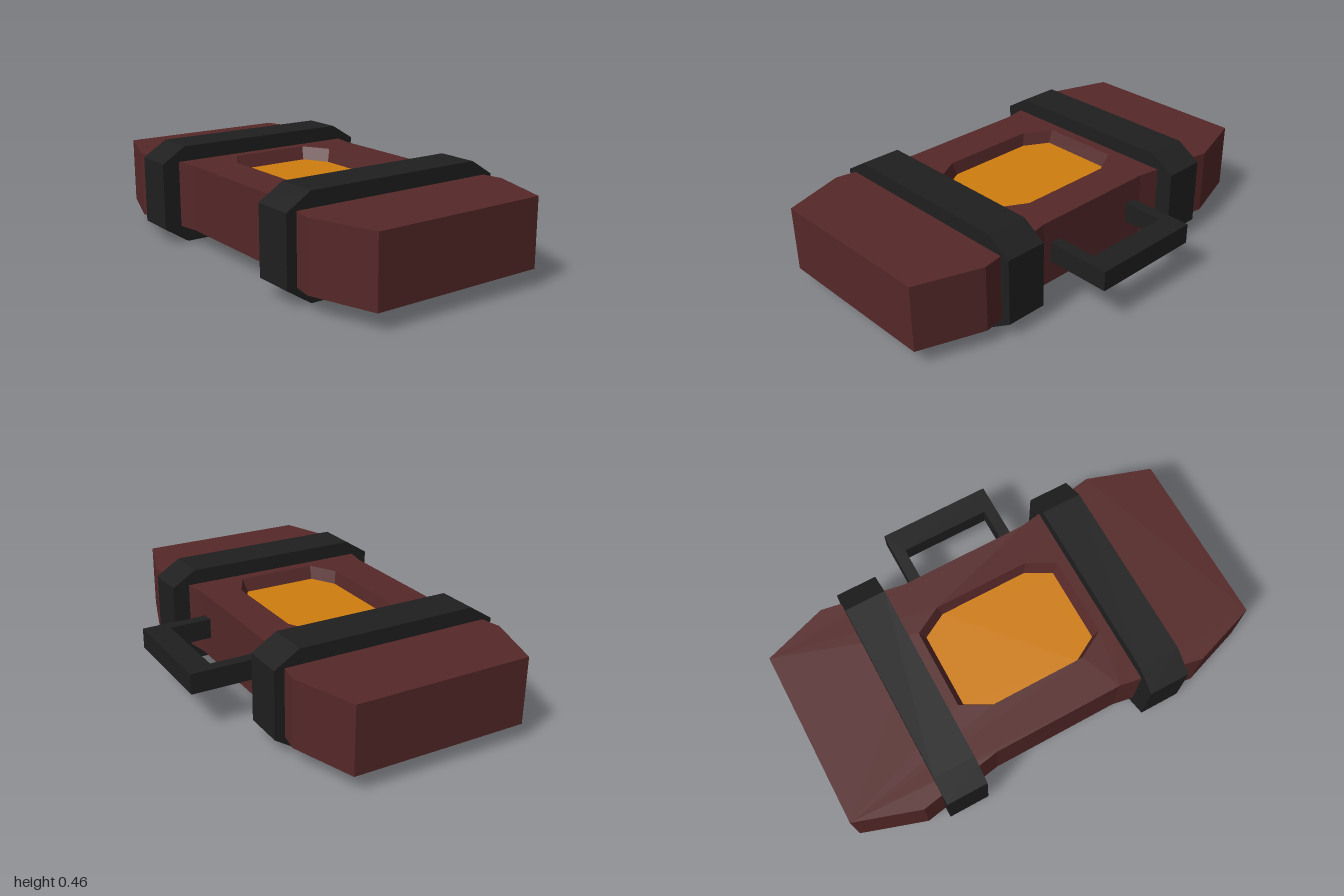
import * as THREE from 'three';
import { mergeGeometries } from 'three/addons/utils/BufferGeometryUtils.js';

const material = (color) => new THREE.MeshStandardMaterial({ color, flatShading: true });
const leather = material(0x552828);
const strapping = material(0x1f1f1f);
const amber = material(0xcf7d0e);

const BOTTOM = 0.08, TOP = 0.39, FLOOR = 0.33;
const MID = 0.105; // z of the case's centre line

// Loops are counter-clockwise from above, as (x, -z), mirrored from one quarter
function mirrorLoop(quarter, midZ) {
  const back = [...quarter, ...quarter.map(([x, z]) => [-x, z]).reverse()];
  const front = back.map(([x, z]) => [-x, -z]);
  return [...back, ...front].map(([x, z]) => new THREE.Vector2(x, z - midZ));
}

// Ring of wall faces from one loop to another
function band(from, y0, to, y1) {
  const p = [];
  from.forEach((a, i) => {
    const j = (i + 1) % from.length, b = from[j], c = to[j], d = to[i];
    p.push(a.x, y0, -a.y, b.x, y0, -b.y, c.x, y1, -c.y);
    p.push(a.x, y0, -a.y, c.x, y1, -c.y, d.x, y1, -d.y);
  });
  const g = new THREE.BufferGeometry();
  g.setAttribute('position', new THREE.Float32BufferAttribute(p, 3));
  g.computeVertexNormals();
  return g;
}

// Flat horizontal face, optionally with a hole or facing down
function cap(loop, y, { hole, down = false } = {}) {
  const shape = new THREE.Shape(down ? loop.map((v) => new THREE.Vector2(v.x, -v.y)) : loop);
  if (hole) shape.holes.push(new THREE.Path(hole));
  const g = new THREE.ShapeGeometry(shape).toNonIndexed();
  g.deleteAttribute('uv');
  return g.rotateX(down ? Math.PI / 2 : -Math.PI / 2).translate(0, y, 0);
}

export function createModel() {
  const group = new THREE.Group();
  const add = (name, geometry, mat) => {
    const mesh = new THREE.Mesh(geometry, mat);
    mesh.name = name;
    group.add(mesh);
    return mesh;
  };

  // Case body with a sunken octagonal recess in the lid
  const outline = mirrorLoop([[1, 0.415], [0.7, 0.515], [0.31, 0.445]], MID);
  const rim = mirrorLoop([[0.36, 0.19], [0.23, 0.262]], 0.095);
  const floor = mirrorLoop([[0.333, 0.18], [0.215, 0.246]], 0.098);
  add('caseBody', mergeGeometries([
    band(outline, BOTTOM, outline, TOP),
    cap(outline, BOTTOM, { down: true }),
    cap(outline, TOP, { hole: rim }),
    band(rim, TOP, floor, FLOOR),
  ]), leather);

  // Amber panel at the bottom of the recess
  add('recessPanel', cap(floor, FLOOR), amber);

  // Two chamfered straps wrapped around the case
  const width = 0.195;
  const section = new THREE.Shape([
    [0.545, 0.075], [0.43, 0], [-0.43, 0], [-0.545, 0.075],
    [-0.545, 0.388], [-0.43, 0.46], [0.43, 0.46], [0.545, 0.388],
  ].map(([z, y]) => new THREE.Vector2(z, y)));
  // Opening tucked inside the case, clear of the recess
  section.holes.push(new THREE.Path([
    [-0.43, 0.1], [0.43, 0.1], [0.43, 0.37], [-0.43, 0.37],
  ].map(([z, y]) => new THREE.Vector2(z, y))));
  const strap = new THREE.ExtrudeGeometry(section, { depth: width, bevelEnabled: false })
    .translate(0, 0, -width / 2).rotateY(Math.PI / 2);
  for (const [name, side] of [['leftStrap', 1], ['rightStrap', -1]]) {
    add(name, strap, strapping).position.set(side * 0.508, 0, MID);
  }

  // Carrying handle on the back
  const handle = new THREE.Shape([
    [-0.27, 0.33], [-0.215, 0.33], [-0.215, 0.54], [0.215, 0.54],
    [0.215, 0.33], [0.27, 0.33], [0.27, 0.655], [-0.27, 0.655],
  ].map(([x, z]) => new THREE.Vector2(x, z)));
  add('handle', new THREE.ExtrudeGeometry(handle, { depth: 0.095, bevelEnabled: false })
    .rotateX(-Math.PI / 2).translate(0, 0.186, 0), strapping);

  return group;
}
